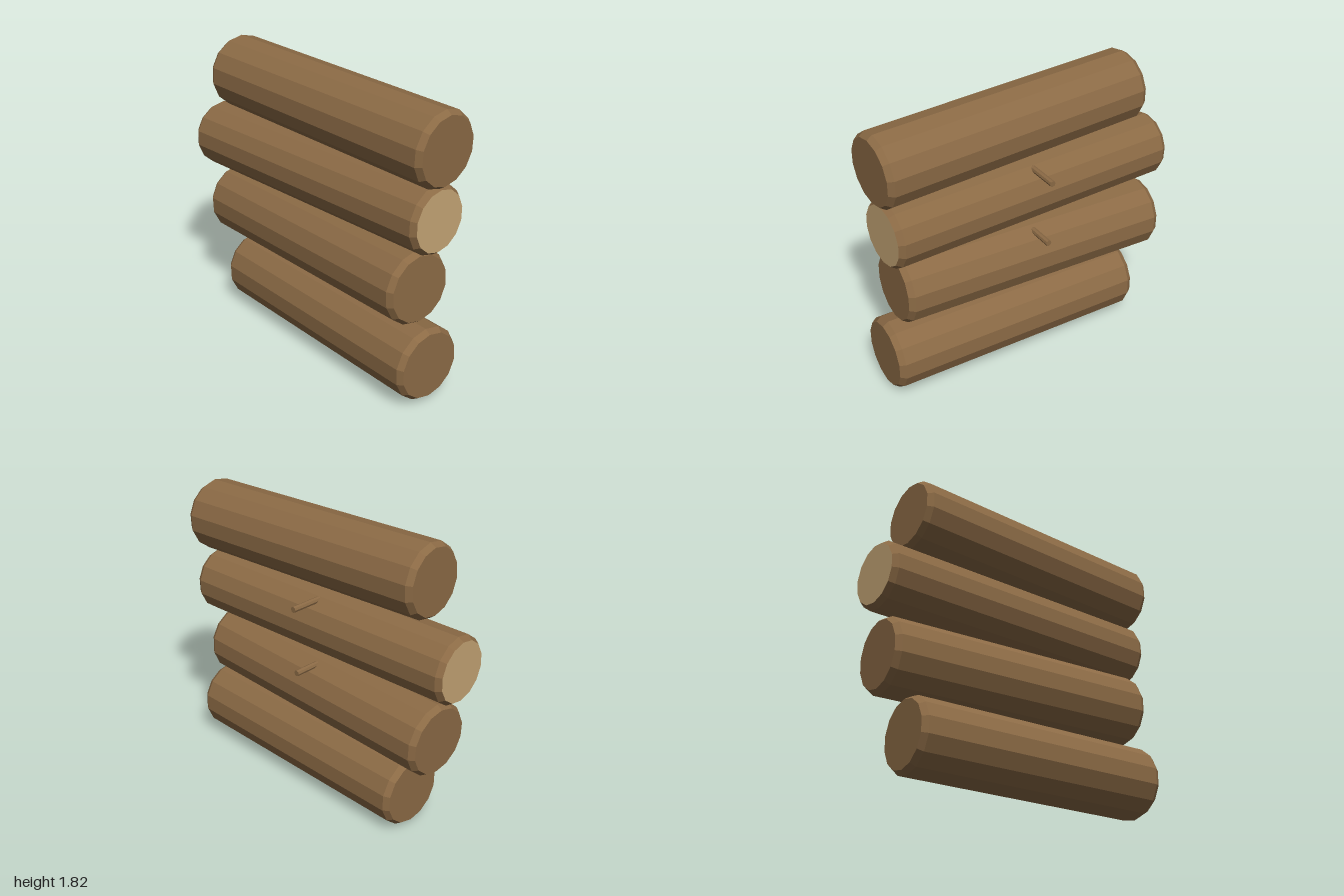
import * as THREE from 'three';

const SIDES = 14;
const BEVEL_LENGTH = 0.035;
const BEVEL_DEPTH = 0.024;

function material(name, color) {
  const m = new THREE.MeshStandardMaterial({ color, flatShading: true });
  m.name = name;
  return m;
}

// Cylinder laid between two points, with separate side and end materials
function between(geometry, start, end) {
  const direction = end.clone().sub(start).normalize();
  const turn = new THREE.Quaternion().setFromUnitVectors(new THREE.Vector3(0, 1, 0), direction);
  geometry.applyQuaternion(turn);
  const middle = start.clone().add(end).multiplyScalar(0.5);
  return geometry.translate(middle.x, middle.y, middle.z);
}

// Bevelled faceted log with flat cut ends
function makeLog(name, radius, front, back, bark, endMaterial) {
  const start = new THREE.Vector3(...back);
  const end = new THREE.Vector3(...front);
  const half = start.distanceTo(end) / 2;
  const rim = radius - BEVEL_DEPTH;
  const group = new THREE.Group();
  group.name = name;

  const profile = [
    [rim, -half],
    [radius, -half + BEVEL_LENGTH],
    [radius, half - BEVEL_LENGTH],
    [rim, half],
  ].map(([r, y]) => new THREE.Vector2(r, y));
  const body = new THREE.Mesh(between(new THREE.LatheGeometry(profile, SIDES), start, end), bark);
  body.name = 'barkBody';
  group.add(body);

  for (const side of [1, -1]) {
    const disc = new THREE.CircleGeometry(rim, SIDES, Math.PI / 2);
    disc.rotateX(-side * Math.PI / 2).translate(0, side * half, 0);
    const cap = new THREE.Mesh(between(disc, start, end), endMaterial);
    cap.name = side > 0 ? 'frontCutEnd' : 'backCutEnd';
    group.add(cap);
  }
  return group;
}

export function createModel() {
  const bark = material('bark', 0x8b6a45);
  const cutWood = material('cutWood', 0xc4a474);
  const model = new THREE.Group();
  model.name = 'logStack';

  // Four slightly crooked logs, bottom to top
  const logs = [
    ['bottomLog', 0.23, [-0.04, 0.25, 0.975], [-0.01, 0.23, -0.725], bark],
    ['lowerLog', 0.23, [-0.045, 0.715, 0.88], [-0.005, 0.665, -0.907], bark],
    ['upperLog', 0.21, [0.015, 1.145, 0.95], [-0.07, 1.122, -0.99], cutWood],
    ['topLog', 0.226, [0.01, 1.571, 0.99], [-0.06, 1.6, -0.78], bark],
  ];
  for (const [name, radius, front, back, ends] of logs) {
    model.add(makeLog(name, radius, front, back, bark, ends));
  }

  // Short twig stubs on the left side
  for (const [name, tip, y, z] of [
    ['lowerTwig', 0.26, 0.87, -0.015],
    ['upperTwig', 0.285, 1.3, -0.02],
  ]) {
    const geometry = new THREE.CylinderGeometry(0.019, 0.019, tip - 0.05, 8);
    const twig = new THREE.Mesh(
      between(geometry, new THREE.Vector3(0.05, y, z), new THREE.Vector3(tip, y, z)), bark);
    twig.name = name;
    model.add(twig);
  }
  return model;
}
